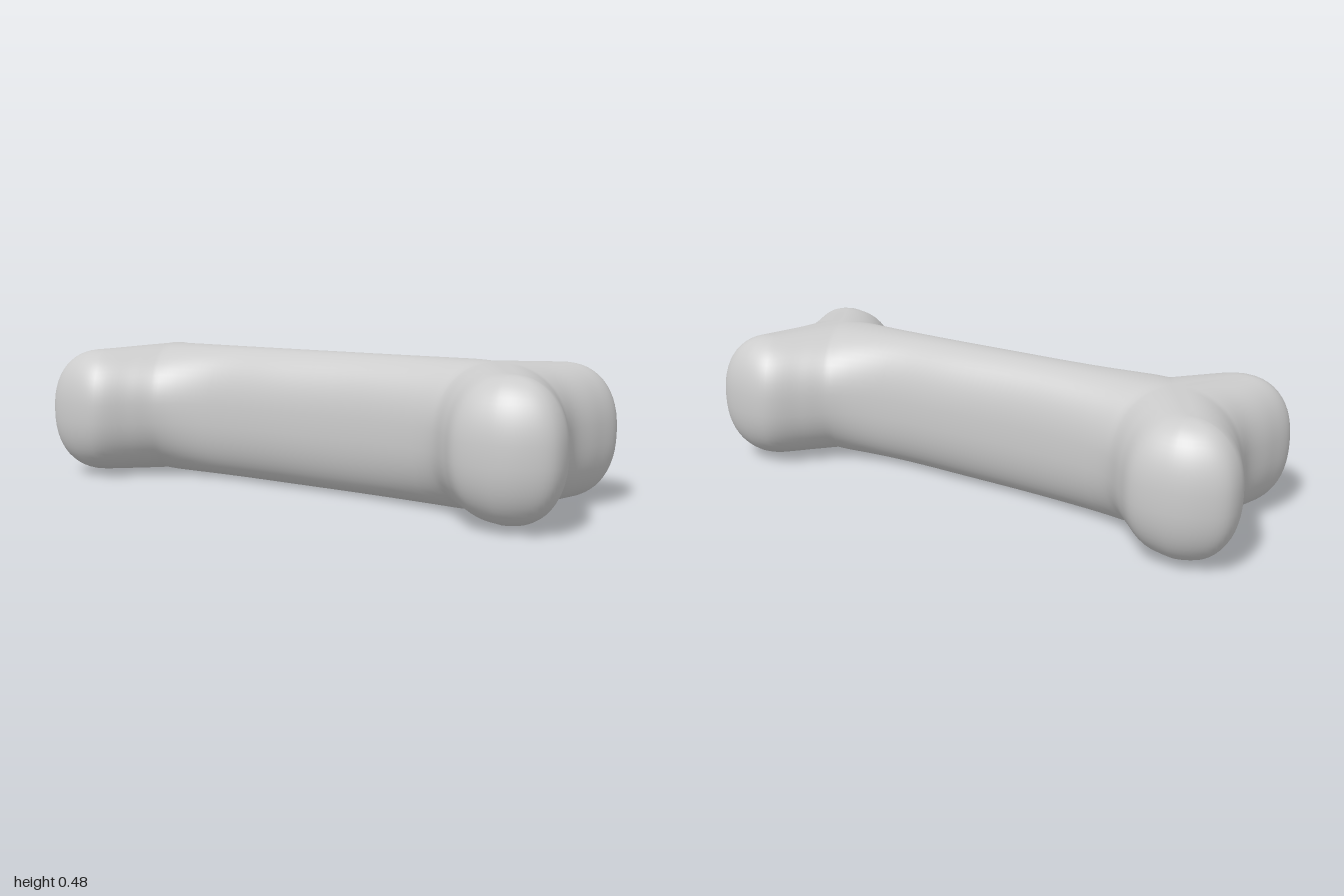
import * as THREE from 'three';

const HALF = 0.24;        // half the thickness
const ROUND = 2.3;        // superellipse power of the cross-section
const STEPS = 6, RINGS = 28;
const FORK = [0.36, 0.58], SIDE_KNOB = [0.63, 0.55], FRONT_KNOB = [0.265, 0.82];

// Front half of the outline: x, z, then the matching point of the forked
// centre line (distance along shaft, along side branch, along front branch)
const HALF_OUTLINE = [
  [0.18, 0, 0.14, 0, 0], [0.333, 0.222, 0.45, 0, 0], [0.43, 0.303, 0.75, 0, 0],
  [0.5, 0.336, 1, 0, 0], [0.59, 0.357, 1, 0.35, 0], [0.709, 0.387, 1, 0.9, 0],
  [0.778, 0.476, 1, 1, 0], [0.81, 0.59, 1, 1, 0], [0.778, 0.656, 1, 1, 0],
  [0.677, 0.698, 1, 0.85, 0], [0.565, 0.734, 1, 0.4, 0], [0.497, 0.79, 1, 0, 0],
  [0.429, 0.884, 1, 0, 0.5], [0.368, 0.969, 1, 0, 1], [0.3, 1, 1, 0, 1],
  [0.217, 0.97, 1, 0, 1], [0.145, 0.905, 1, 0, 1], [0.093, 0.8, 1, 0, 0.85],
  [0.11, 0.704, 1, 0, 0.4], [0.13, 0.598, 1, 0, 0], [0.11, 0.5, 0.75, 0, 0],
  [0, 0.275, 0.34, 0, 0],
];

function knot([x, z, a, s, f]) {
  const centre = [0, 1].map(i => FORK[i] * a
    + (SIDE_KNOB[i] - FORK[i]) * s + (FRONT_KNOB[i] - FORK[i]) * f);
  return { edge: new THREE.Vector3(x, 0, z), spine: new THREE.Vector3(centre[0], 0, centre[1]) };
}

function boneGeometry() {
  // The back half is the front half turned by 180 degrees
  const front = HALF_OUTLINE.map(knot);
  const back = front.map(k => ({ edge: k.edge.clone().negate(), spine: k.spine.clone().negate() }));
  const knots = [...front, ...back];
  const outline = new THREE.CatmullRomCurve3(knots.map(k => k.edge), true, 'centripetal');
  const count = knots.length * STEPS;
  const positions = [], index = [];

  for (let i = 0; i < count; i++) {
    const k = Math.floor(i / STEPS);
    const edge = outline.getPoint(i / count);
    const spine = knots[k].spine.clone().lerp(knots[(k + 1) % knots.length].spine, (i % STEPS) / STEPS);
    // The knobs are slightly thinner than the shaft
    const height = HALF - 0.017 * THREE.MathUtils.smoothstep(spine.length(), 0.6, 0.88);
    for (let j = 0; j <= RINGS; j++) {
      const angle = Math.PI * (0.5 - j / RINGS);
      const out = Math.pow(Math.max(0, Math.cos(angle)), 2 / ROUND);
      const up = Math.sign(Math.sin(angle)) * Math.pow(Math.abs(Math.sin(angle)), 2 / ROUND);
      const p = spine.clone().lerp(edge, j % RINGS === 0 ? 0 : out);
      positions.push(p.x, HALF + height * up, p.z);
      if (j < RINGS) {
        const a = i * (RINGS + 1) + j, b = ((i + 1) % count) * (RINGS + 1) + j;
        index.push(a, b, a + 1, b, b + 1, a + 1);
      }
    }
  }

  const geometry = new THREE.BufferGeometry();
  geometry.setAttribute('position', new THREE.Float32BufferAttribute(positions, 3));
  geometry.setIndex(index);
  geometry.computeVertexNormals();
  // Straight normals along the top and bottom centre lines
  for (let i = 0; i < count; i++) {
    geometry.attributes.normal.setXYZ(i * (RINGS + 1), 0, 1, 0);
    geometry.attributes.normal.setXYZ(i * (RINGS + 1) + RINGS, 0, -1, 0);
  }
  return geometry;
}

export function createModel() {
  const group = new THREE.Group();
  group.name = 'bone';
  const body = new THREE.Mesh(boneGeometry(), new THREE.MeshStandardMaterial({ color: 0xcccccc }));
  body.name = 'boneBody';
  group.add(body);
  return group;
}
